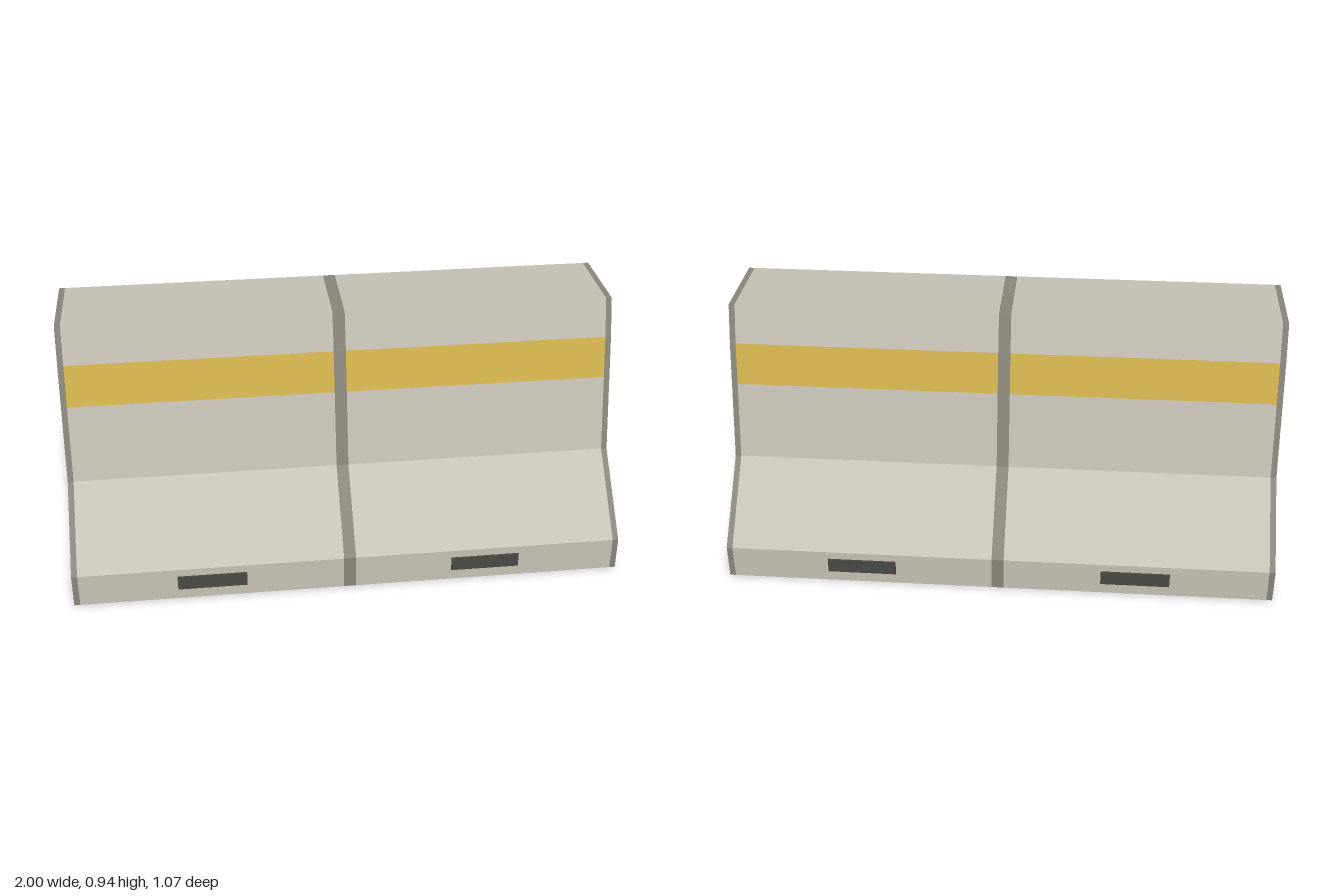
import * as THREE from 'three';

const mat = (name, color) => {
  const m = new THREE.MeshStandardMaterial({ color });
  m.name = name;
  return m;
};

// Half section as [z, y], from the ground up to the crown
const half = [[0.527, 0], [0.527, 0.125], [0.288, 0.375], [0.228, 0.65], [0.195, 0.8], [0.155, 0.938]];
const section = [...half, ...half.map(([z, y]) => [-z, y]).reverse()];
const STRIPE = [3, 7]; // section faces that carry the painted stripe

// Flat-faced skin over the chosen section faces, between two x positions
function skin(x0, x1, faces) {
  const pos = [];
  for (const i of faces) {
    const [za, ya] = section[i], [zb, yb] = section[i + 1];
    pos.push(x0, ya, za, x1, ya, za, x1, yb, zb, x0, ya, za, x1, yb, zb, x0, yb, zb);
  }
  const g = new THREE.BufferGeometry();
  g.setAttribute('position', new THREE.Float32BufferAttribute(pos, 3));
  g.computeVertexNormals();
  return g;
}

export function createModel() {
  const group = new THREE.Group();
  group.name = 'roadBarrier';
  const concrete = mat('concrete', 0xc7c2b6);
  const joint = mat('jointGrey', 0x8a867b);
  const yellow = mat('stripeYellow', 0xd4b44e);
  const dark = mat('slotDark', 0x4a4a46);
  const add = (name, geometry, material) => {
    const m = new THREE.Mesh(geometry, material);
    m.name = name;
    group.add(m);
    return m;
  };

  const all = section.slice(1).map((_, i) => i);
  const plain = all.filter((i) => !STRIPE.includes(i));

  // Two concrete halves with their painted stripes
  for (const [side, x0, x1] of [['right', -0.979, -0.022], ['left', 0.022, 0.979]]) {
    add(side + 'Body', skin(x0, x1, plain), concrete);
    add(side + 'Stripe', skin(x0, x1, STRIPE), yellow);
  }

  // Centre joint and edge bands
  for (const [name, x0, x1] of [['rightEdgeBand', -1, -0.979], ['centreJoint', -0.022, 0.022], ['leftEdgeBand', 0.979, 1]]) {
    add(name, skin(x0, x1, all), joint);
  }

  // End faces
  const outline = new THREE.Shape(section.map(([z, y]) => new THREE.Vector2(z, y)));
  for (const s of [-1, 1]) {
    const end = add(s > 0 ? 'leftEnd' : 'rightEnd', new THREE.ShapeGeometry(outline), joint);
    end.rotation.y = s * Math.PI / 2;
    end.position.x = s;
  }

  // Underside
  const underside = add('underside', new THREE.PlaneGeometry(2, 1.054), concrete);
  underside.rotation.x = Math.PI / 2;

  // Lifting slots along both foot faces
  for (const x of [-0.5, 0.5]) {
    for (const s of [-1, 1]) {
      const slot = add(s > 0 ? 'frontSlot' : 'backSlot', new THREE.BoxGeometry(0.25, 0.054, 0.009), dark);
      slot.position.set(x, 0.069, s * 0.528);
    }
  }
  return group;
}
